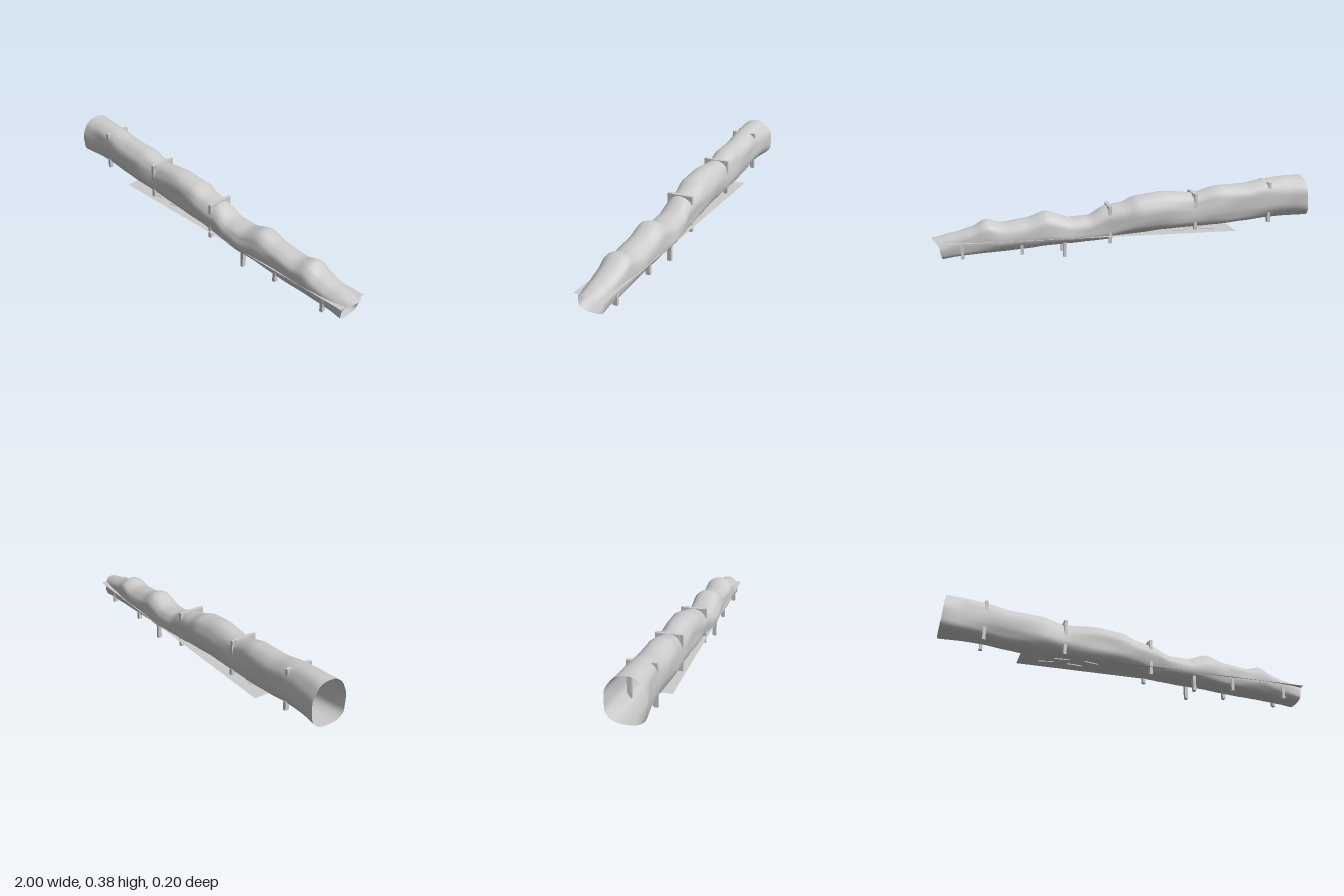
import * as THREE from 'three';

const mat = new THREE.MeshStandardMaterial({ color: 0xcccccc, side: THREE.DoubleSide });

// Tunnel stations: x, roof height, floor height, half width
const stations = [
  [-1, .382, .165, .098], [-.88, .38, .163, .083], [-.78, .37, .158, .079], [-.65, .347, .145, .08],
  [-.5, .34, .132, .082], [-.37, .307, .125, .073], [-.2, .32, .117, .08], [-.06, .303, .105, .086],
  [.02, .27, .098, .08], [.11, .255, .078, .074], [.2, .206, .075, .08], [.3, .2, .068, .084],
  [.42, .24, .06, .082], [.52, .207, .05, .077], [.65, .188, .042, .08], [.73, .21, .037, .079],
  [.8, .172, .032, .073], [.89, .145, .025, .066], [.96, .122, .016, .065],
];

function sample(x) {
  let i = 0;
  while (i < stations.length - 2 && x > stations[i + 1][0]) i++;
  const a = stations[i], b = stations[i + 1];
  const t = (x - a[0]) / (b[0] - a[0]), s = t * t * (3 - 2 * t), k = (s + t) / 2;
  return a.map((v, j) => v + (b[j] - v) * k);
}

// Rough rock tube, open at both ends, lofted through the stations
function tunnelGeometry() {
  const rings = 90, sides = 40, pos = [], idx = [];
  for (let i = 0; i <= rings; i++) {
    const x = -1 + 1.96 * i / rings;
    const [, top, bottom, half] = sample(x);
    const mid = (top + bottom) / 2, h = (top - bottom) / 2;
    for (let j = 0; j < sides; j++) {
      const a = j / sides * Math.PI * 2, c = Math.cos(a), s = Math.sin(a);
      const p = s > 0 ? .9 : .7; // arched roof, flatter floor
      const rough = .035 * Math.abs(c) * (Math.sin(9 * x + 3 * a) + .6 * Math.sin(17 * x - 5 * a + 1) + .4 * Math.sin(5 * x + 9 * a));
      const z = -.002 + Math.sign(c) * Math.abs(c) ** p * half * (1 + rough);
      const y = mid + Math.sign(s) * Math.abs(s) ** p * h * (1 + rough * .4);
      // Slanted mouths: the roof leans back at the high end and overhangs at the low end
      const up = (s + 1) / 2;
      const lean = .02 * up * Math.max(0, 1 - (x + 1) / .1) + .04 * Math.max(0, s) ** 2 * Math.max(0, (x - .86) / .1)
        - .012 * Math.max(0, -s) * Math.max(0, (x - .86) / .1);
      pos.push(x + lean, y, z);
    }
  }
  for (let i = 0; i < rings; i++) for (let j = 0; j < sides; j++) {
    const a = i * sides + j, b = i * sides + (j + 1) % sides;
    idx.push(a, b, a + sides, b, b + sides, a + sides);
  }
  const g = new THREE.BufferGeometry();
  g.setAttribute('position', new THREE.Float32BufferAttribute(pos, 3));
  g.setIndex(idx);
  g.computeVertexNormals();
  return g;
}

function box(parent, name, w, h, d, x, y, z) {
  const m = new THREE.Mesh(new THREE.BoxGeometry(w, h, d), mat);
  m.name = name;
  m.position.set(x, y, z);
  parent.add(m);
  return m;
}

export function createModel() {
  const model = new THREE.Group();
  model.name = 'mineTunnel';

  const tunnel = new THREE.Mesh(tunnelGeometry(), mat);
  tunnel.name = 'tunnelWall';
  model.add(tunnel);

  // Level sheet running through the lower tunnel
  const floor = new THREE.Mesh(new THREE.PlaneGeometry(1.56, .168).rotateX(-Math.PI / 2), mat);
  floor.name = 'levelFloor';
  floor.position.set(.19, .105, -.004);
  model.add(floor);

  // Timber frames: x, post foot, beam top
  const frames = [[-.78, .14, .357], [-.37, .117, .31], [.09, .065, .262], [.33, .004, .17], [.55, .03, .14], [.85, .02, .09]];
  for (const [x, foot, top] of frames) {
    const frame = new THREE.Group();
    frame.name = 'timberFrame';
    for (const s of [-1, 1]) box(frame, 'post', .016, top - foot, .022, x, (top + foot) / 2, s * .06);
    box(frame, 'crossBeam', .022, .02, .11, x, top - .01, 0);
    model.add(frame);
  }

  // Loose planks showing through the level sheet
  for (let i = 0; i < 4; i++) {
    const plank = box(model, 'plank', .08, .008, .012, -.45 + i * .075, .104, i % 2 ? .03 : -.02);
    plank.rotation.y = .15 * (i - 1.5);
  }
  return model;
}
